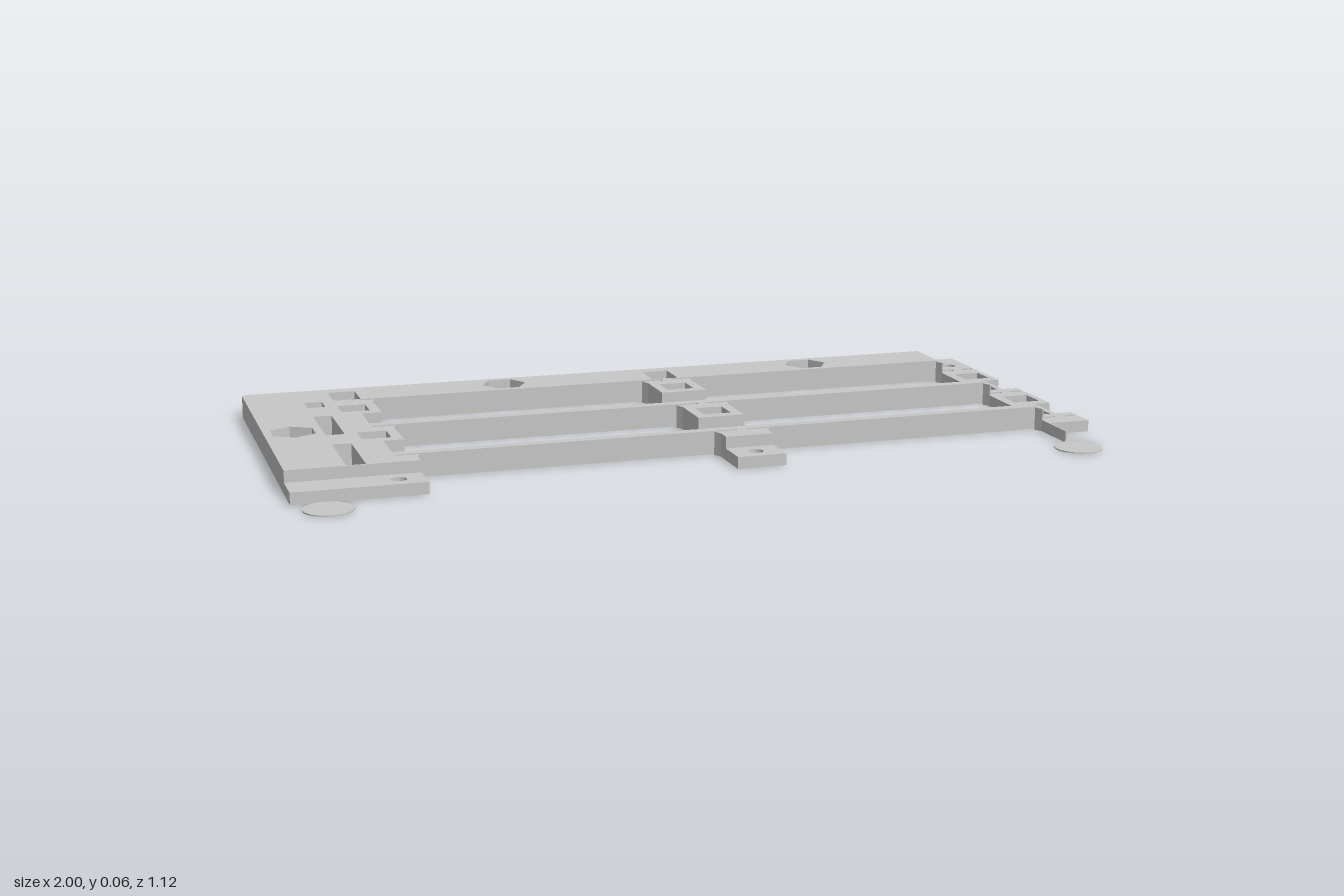
import * as THREE from 'three';

const LOW = 0.0285, HIGH = 0.057, PAD = 0.003;

export function createModel() {
  const root = new THREE.Group();
  root.name = 'mountingFrame';
  const grey = new THREE.MeshStandardMaterial({ color: 0xc8c8c8 });
  grey.name = 'plastic grey';

  // Outlines are given as [x, z] corners, clockwise seen from above
  const rect = (x0, x1, z0, z1) => [[x0, z0], [x1, z0], [x1, z1], [x0, z1]];
  const ring = (x, z, r, n, turn = 0) => Array.from({ length: n }, (_, i) => {
    const a = turn + (i / n) * Math.PI * 2;
    return [x + r * Math.cos(a), z + r * Math.sin(a)];
  });
  // Reversed to counter-clockwise so that hole walls face into the holes
  const toPoints = (pts) => pts.map(([x, z]) => new THREE.Vector2(x, -z)).reverse();

  // Flat slab from y0 to y1 with holes through it
  function slab(name, outline, y0, y1, holes = []) {
    const shape = new THREE.Shape(toPoints(outline));
    shape.holes = holes.map((h) => new THREE.Path(toPoints(h)));
    const geo = new THREE.ExtrudeGeometry(shape, { depth: y1 - y0, bevelEnabled: false });
    geo.rotateX(-Math.PI / 2).translate(0, y0, 0);
    const mesh = new THREE.Mesh(geo, grey);
    mesh.name = name;
    root.add(mesh);
  }

  // Wedge rising toward the front inside a clip pocket
  function ramp(x, z0, z1, height) {
    const s = new THREE.Shape([[-z0, 0], [-z1, 0], [-z1, height]].map((p) => new THREE.Vector2(...p)));
    const geo = new THREE.ExtrudeGeometry(s, { depth: 0.07, bevelEnabled: false });
    geo.rotateY(Math.PI / 2).translate(x - 0.035, 0, 0);
    const mesh = new THREE.Mesh(geo, grey);
    mesh.name = 'clipRamp';
    root.add(mesh);
  }

  const columns = [-0.75, 0.1, 0.95];
  const rows = [-0.29, 0.005];
  const step = 0.893; // everything beyond this x is half height

  // Openings shared by both layers of the main plate
  const openings = [
    rect(-0.86, -0.815, -0.305, -0.245),
    rect(-0.86, -0.815, -0.145, 0.055),
    rect(-0.86, -0.815, 0.15, 0.352),
    ...rows.map((z) => rect(-0.785, -0.715, z + 0.045, z + 0.115)),
    ...columns.slice(0, 2).map((x) => rect(x - 0.035, x + 0.035, -0.405, -0.31)),
  ];
  const nuts = [[-0.325, -0.375, 0], [0.525, -0.375, 0], [-0.93, -0.002, Math.PI / 6]];

  // L-shaped main plate: back rail, side plate and its clip tabs
  const plate = (right, front) => [
    [-0.99, -0.443], [right, -0.443], [right, -0.306],
    [-0.74, -0.306], [-0.74, -0.3], [-0.68, -0.29], [-0.69, -0.275], [-0.69, -0.145], [-0.74, -0.145],
    [-0.74, 0.005], [-0.68, 0.005], [-0.69, 0.02], [-0.69, 0.15], [-0.74, 0.15],
    [-0.74, 0.3], [-0.68, 0.3], [-0.69, 0.315], [-0.69, front], [-1, front], [-1, -0.433],
  ];
  slab('plateLower', plate(1, 0.443), 0, LOW, [
    ...openings,
    ...nuts.map(([x, z]) => ring(x, z, 0.033, 24)),
    ring(-0.75, 0.4, 0.018, 20),
    ring(0.95, -0.355, 0.018, 20),
  ]);
  slab('plateUpper', plate(step, 0.356), LOW, HIGH, [
    ...openings,
    ...nuts.map(([x, z, turn]) => ring(x, z, 0.058, 6, turn)),
  ]);
  for (const x of columns.slice(0, 2)) ramp(x, -0.36, -0.31, 0.05);
  for (const z of rows) ramp(columns[0], z + 0.09, z + 0.115, 0.05);

  // Clip outline with a flared back edge
  const clip = (x, z, end) => [
    [x - 0.07, z], [Math.min(x + 0.07, 1), z], [Math.min(x + 0.06, 1), z + 0.02],
    [Math.min(x + 0.06, 1), end], [x - 0.06, end], [x - 0.06, z + 0.02],
  ];

  // Middle column is full height, right column is half height
  columns.slice(1).forEach((x, i) => {
    const top = i === 0 ? HIGH : LOW;
    for (const z of rows) {
      slab('clip', clip(x, z, z + 0.145), 0, top, [rect(x - 0.035, x + 0.035, z + 0.045, z + 0.115)]);
      ramp(x, z + 0.09, z + 0.115, top * 0.85);
      slab('spacerStrip', rect(x - 0.007, x + 0.007, z + 0.145, z + 0.26), 0, LOW);
    }
    for (const z of [-0.306, -0.008, 0.288]) {
      slab('clipNeck', rect(x - 0.012, x + 0.012, z, z + 0.016), 0, top);
    }
  });

  // Upper slivers of the right flares, cut off at the height step
  for (const z of [...rows, 0.3]) {
    slab('flareSliver', [[0.88, z], [step, z], [step, z + 0.02], [0.89, z + 0.02]], LOW, HIGH);
  }

  // Front tabs
  slab('middleTabLower', clip(0.1, 0.3, 0.443), 0, LOW, [ring(0.1, 0.4, 0.018, 20)]);
  slab('middleTabUpper', clip(0.1, 0.3, 0.356), LOW, HIGH);
  slab('rightTab', clip(0.95, 0.3, 0.356), 0, LOW);

  // Long cross rails, stepping down at the right end
  for (const z of [-0.035, 0.263]) {
    slab('crossRail', rect(-0.74, step, z, z + 0.028), 0, HIGH);
    slab('crossRailEnd', rect(step, 1, z, z + 0.028), 0, LOW);
  }

  // Thin corner pads and their ties
  for (const [x, z] of [[-0.925, -0.505], [0.893, -0.505], [-0.925, 0.503], [0.893, 0.503]]) {
    slab('cornerPad', ring(x, z, 0.057, 40), 0, PAD);
  }
  slab('padTieFront', rect(0.89, 0.894, 0.356, 0.443), 0, LOW);
  slab('padTieBack', rect(0.89, 0.894, -0.455, -0.443), 0, PAD);

  return root;
}
